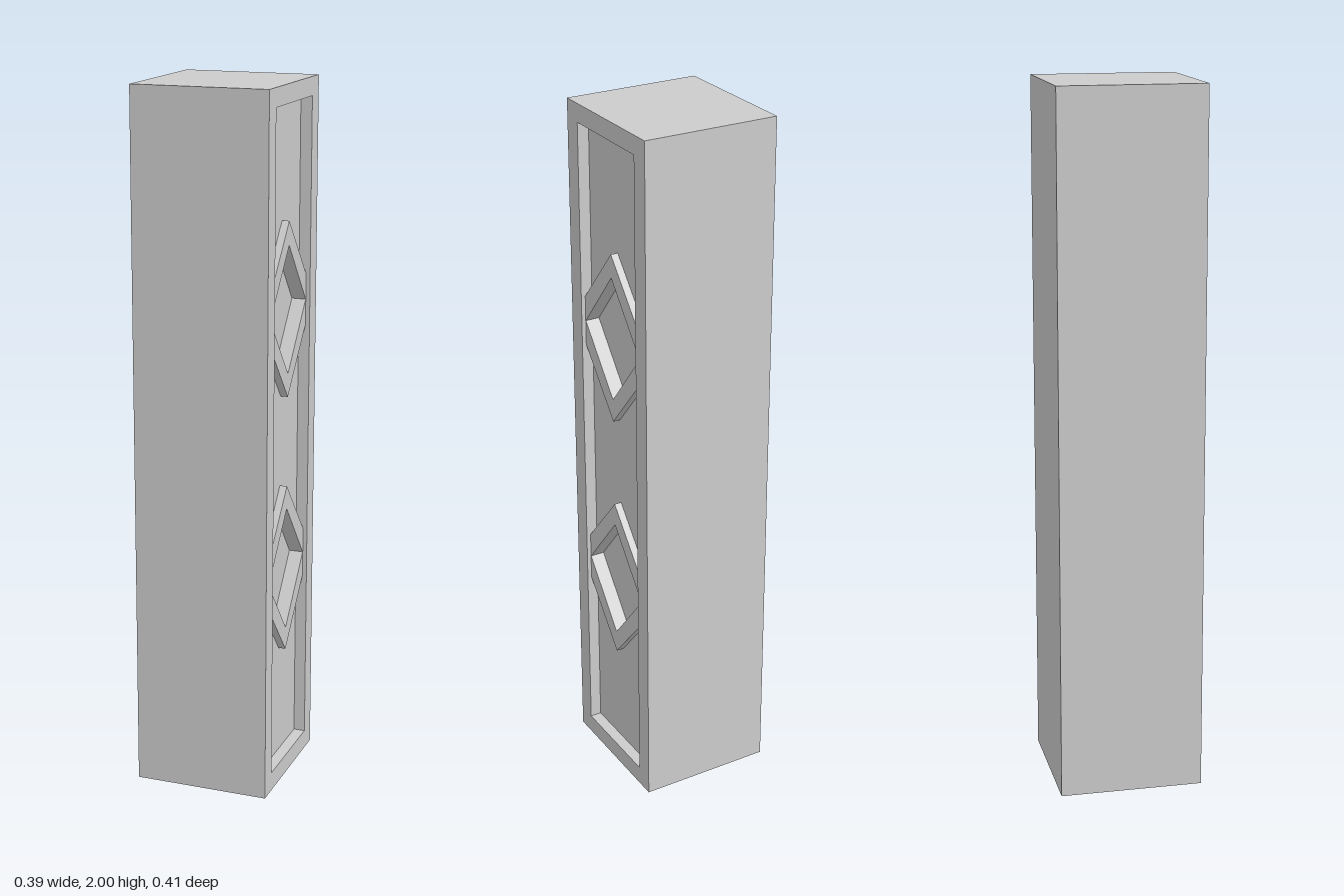
import * as THREE from 'three';

const W = 0.205;                 // half depth of the pillar (z)
const BACK = -0.195, FACE = 0.195;
const FLOOR = 0.142;             // bottom of the diamond sockets
const PANEL = 0.162;             // sunken panel surface
const RING = 0.183;              // raised diamond surround surface
const CENTERS = [0.625, 1.38];

const points = (list, y = 0) => list.map(([a, b]) => new THREE.Vector2(a, b + y));
const rect = (h, y0, y1) => points([[-h, y0], [h, y0], [h, y1], [-h, y1]]);
const diamond = (y) => points([[0, -0.18], [0.149, 0], [0, 0.18], [-0.149, 0]], y);
// Larger diamond with its side tips cut off by the panel edge
const surround = (y) => points([[0, -0.247], [0.15, -0.073], [0.15, 0.073],
  [0, 0.247], [-0.15, 0.073], [-0.15, -0.073]], y);

export function createModel() {
  const group = new THREE.Group();
  const material = new THREE.MeshStandardMaterial({ color: 0xcccccc, flatShading: true });

  // Extrudes an outline in the z-y plane from x0 to x1
  function slab(name, outline, holes, x0, x1) {
    const shape = new THREE.Shape(outline);
    shape.holes = holes.map((h) => new THREE.Path(h));
    const geometry = new THREE.ExtrudeGeometry(shape, { depth: x1 - x0, bevelEnabled: false });
    geometry.rotateY(Math.PI / 2).translate(x0, 0, 0);
    const mesh = new THREE.Mesh(geometry, material);
    mesh.name = name;
    group.add(mesh);
  }

  // Pillar body, sunken panel with sockets, and the border around it
  slab('pillarBody', rect(W, 0, 2), [], BACK, FLOOR);
  slab('sunkenPanel', rect(W, 0, 2), CENTERS.map(diamond), FLOOR, PANEL);
  slab('panelBorder', rect(W, 0, 2), [rect(0.15, 0.055, 1.948)], PANEL, FACE);

  // Raised surrounds of the two diamond sockets
  CENTERS.forEach((y) => slab('diamondSurround', surround(y), [diamond(y)], PANEL, RING));

  return group;
}
